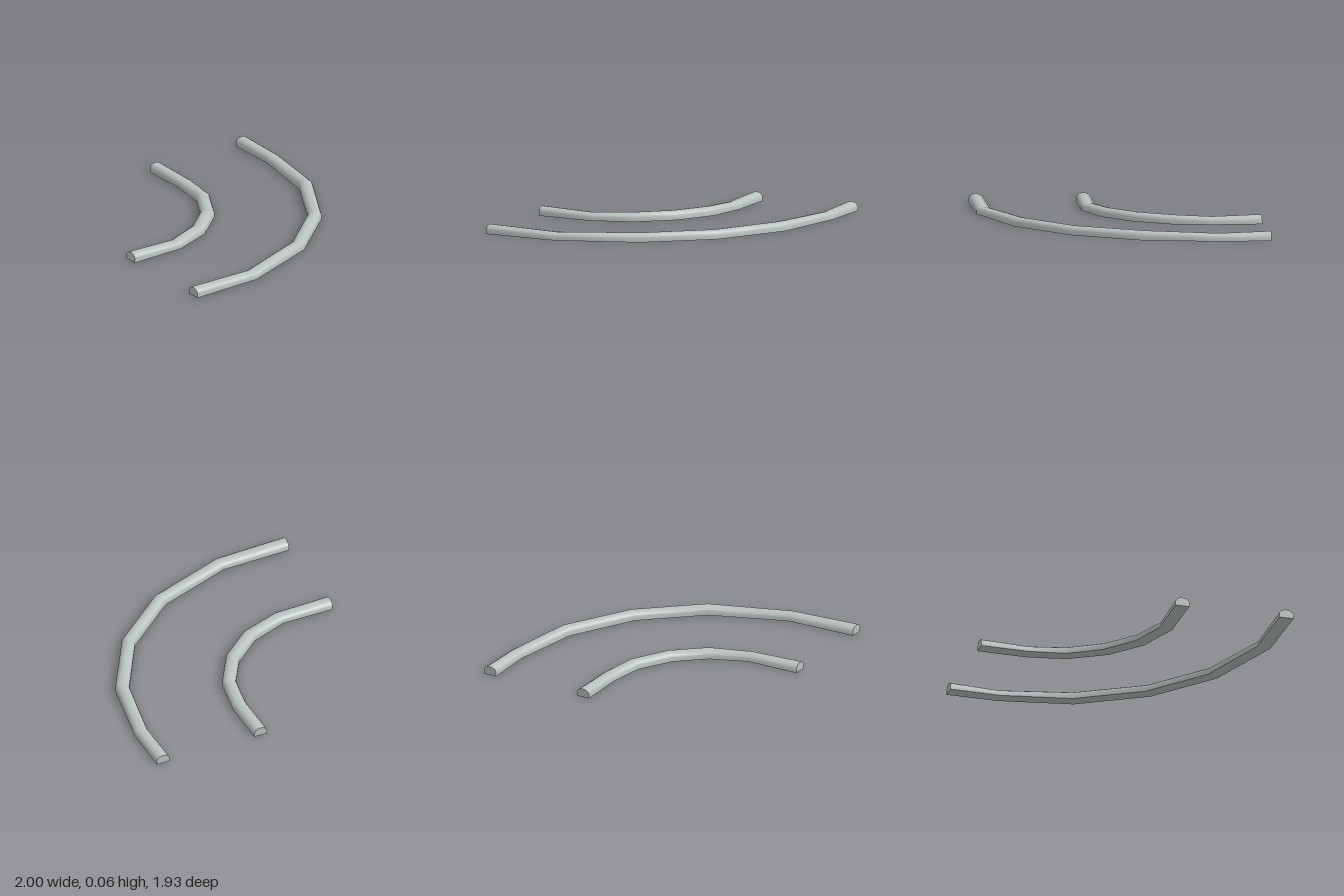
import * as THREE from 'three';
import { toCreasedNormals } from 'three/addons/utils/BufferGeometryUtils.js';

// Kerb section: [across from outer to inner edge, fraction of height]
const half = [[0, 0], [0, 0.5], [0.08, 0.75], [0.25, 0.93]];
const PROFILE = [...half, [0.5, 1], ...half.map(([u, v]) => [1 - u, v]).reverse()];

// Each station is [outerX, outerZ, innerX, innerZ, height]
function kerbGeometry(stations) {
  const n = PROFILE.length;
  const positions = [];
  const index = [];
  for (const [ox, oz, ix, iz, h] of stations) {
    for (const [u, v] of PROFILE) positions.push(ox + (ix - ox) * u, h * v, oz + (iz - oz) * u);
  }
  // Skin between neighbouring sections, underside included
  for (let i = 0; i < stations.length - 1; i++) {
    for (let k = 0; k < n; k++) {
      const a = i * n + k, b = i * n + (k + 1) % n;
      index.push(a, b, b + n, a, b + n, a + n);
    }
  }
  // Flat end caps
  const last = (stations.length - 1) * n;
  for (let k = 1; k < n - 1; k++) {
    index.push(0, k + 1, k);
    index.push(last, last + k, last + k + 1);
  }
  const geometry = new THREE.BufferGeometry();
  geometry.setAttribute('position', new THREE.Float32BufferAttribute(positions, 3));
  geometry.setIndex(index);
  return toCreasedNormals(geometry, 0.8);
}

export function createModel() {
  const group = new THREE.Group();
  group.name = 'curvedKerbs';
  const concrete = new THREE.MeshStandardMaterial({ color: 0xb9c2be });
  concrete.name = 'pale concrete';

  const kerbs = {
    outerKerb: [
      [-1, -0.97, -1, -0.87, 0.064],
      [-0.63, -0.967, -0.633, -0.87, 0.053],
      [-0.087, -0.866, -0.124, -0.774, 0.064],
      [0.4, -0.583, 0.34, -0.507, 0.063],
      [0.765, -0.155, 0.683, -0.106, 0.063],
      [0.984, 0.433, 0.883, 0.445, 0.053],
      [0.997, 0.965, 0.893, 0.965, 0.064],
    ],
    innerKerb: [
      [-1, -0.203, -1, -0.105, 0.064],
      [-0.642, -0.203, -0.65, -0.102, 0.053],
      [-0.353, -0.15, -0.385, -0.058, 0.062],
      [-0.087, 0.005, -0.15, 0.082, 0.063],
      [0.112, 0.235, 0.027, 0.289, 0.062],
      [0.225, 0.54, 0.127, 0.556, 0.053],
      [0.23, 0.947, 0.127, 0.947, 0.064],
    ],
  };
  for (const [name, stations] of Object.entries(kerbs)) {
    const mesh = new THREE.Mesh(kerbGeometry(stations), concrete);
    mesh.name = name;
    group.add(mesh);
  }
  return group;
}
